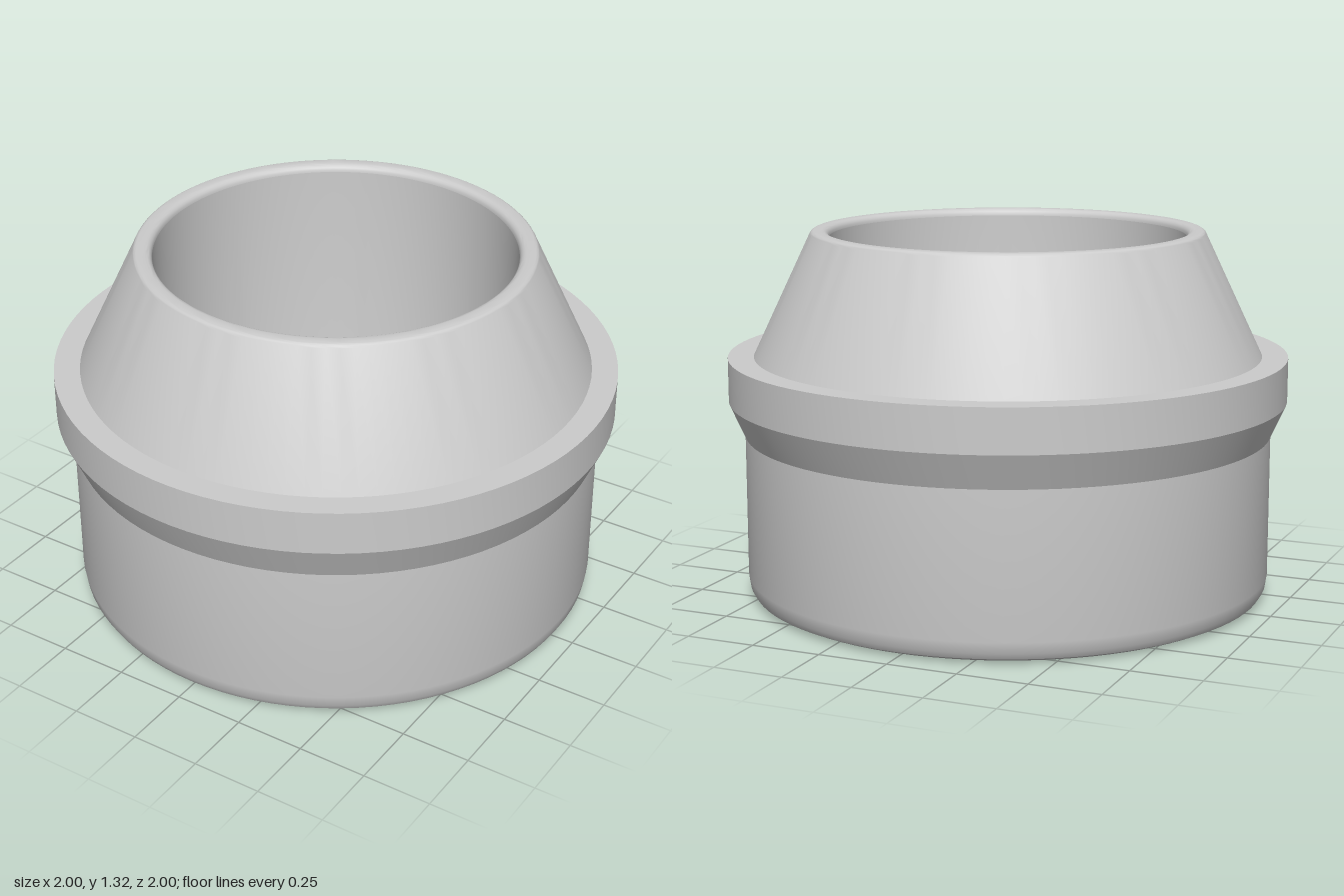
import * as THREE from 'three';
import { toCreasedNormals } from 'three/addons/utils/BufferGeometryUtils.js';

const SEGMENTS = 96;

// Revolve a [radius, height] profile, keeping its sharp corners
function revolve(name, profile, material) {
  const points = profile.map(([r, y]) => new THREE.Vector2(r, y));
  const geometry = toCreasedNormals(new THREE.LatheGeometry(points, SEGMENTS), 0.42);
  const mesh = new THREE.Mesh(geometry, material);
  mesh.name = name;
  return mesh;
}

// Points of a quarter-round fillet between two angles
function fillet(cx, cy, radius, from, to, steps = 5) {
  return Array.from({ length: steps + 1 }, (_, i) => {
    const a = from + ((to - from) * i) / steps;
    return [cx + radius * Math.cos(a), cy + radius * Math.sin(a)];
  });
}

export function createModel() {
  const group = new THREE.Group();
  group.name = 'collaredCup';
  const material = new THREE.MeshStandardMaterial({ color: 0xcccccc });
  const PI = Math.PI;

  // Flat base with a rounded lower edge and straight wall
  group.add(revolve('base', [
    [0, 0],
    [0.86, 0],
    [0.9, 0.006],
    [0.925, 0.018],
    [0.938, 0.04],
    [0.944, 0.08],
    [0.944, 0.59],
  ], material));

  // Protruding collar, chamfered underneath
  group.add(revolve('collar', [
    [0.944, 0.59],
    [1, 0.715],
    [1, 0.87],
    [0.908, 0.87],
  ], material));

  // Tapered neck with a rounded rim
  group.add(revolve('neck', [
    [0.908, 0.87],
    ...fillet(0.685, 1.295, 0.02, 0.4, PI / 2),
    ...fillet(0.66, 1.29, 0.025, PI / 2, PI),
  ], material));

  // Deep, slightly tapered bore with a shallow dimple in its floor
  group.add(revolve('bore', [
    [0.635, 1.29],
    [0.617, 0.12],
    ...fillet(0.597, 0.12, 0.02, 0, -PI / 2),
    [0.11, 0.1],
    [0.11, 0.085],
    [0, 0.085],
  ], material));

  return group;
}
